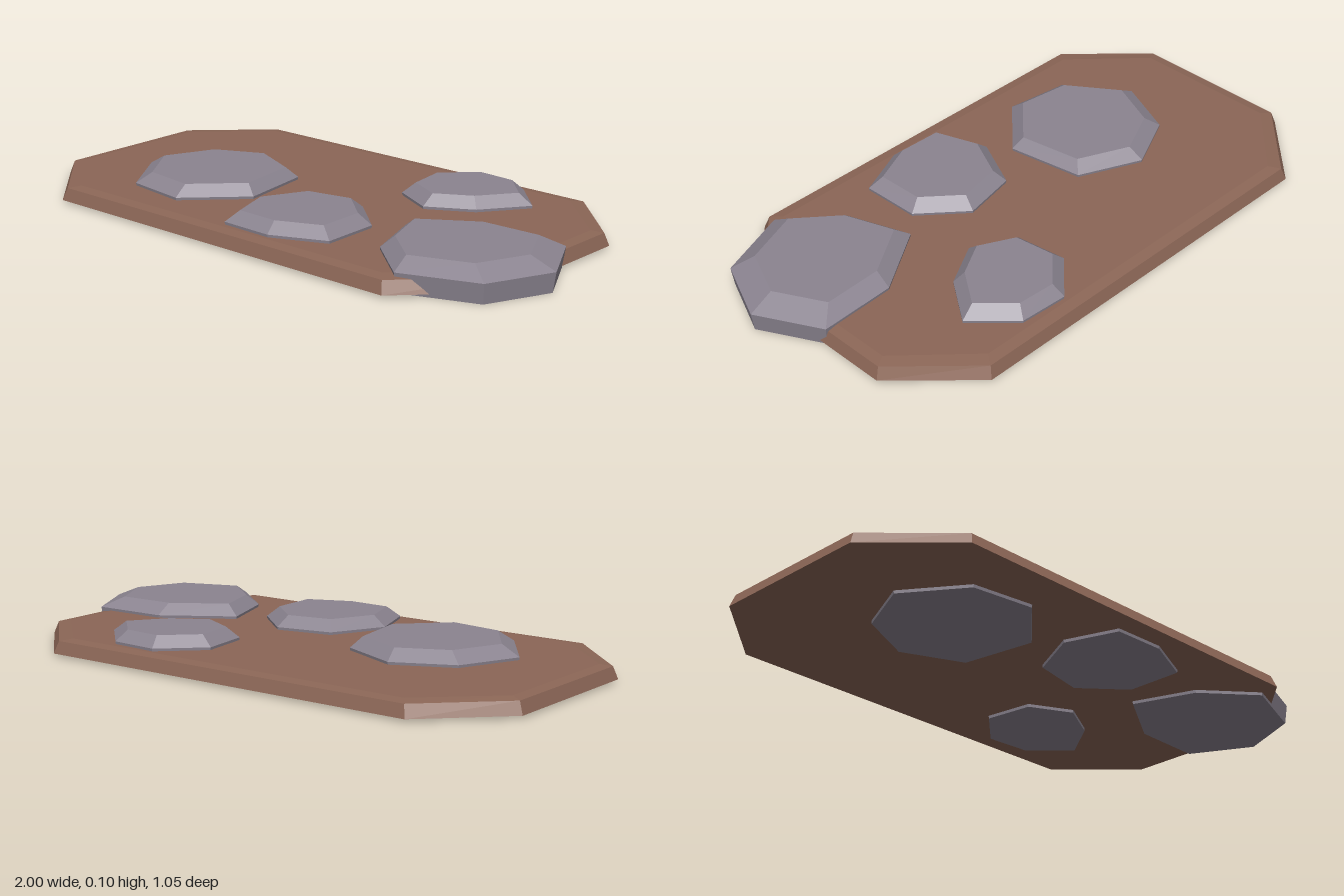
import * as THREE from 'three';

// Solid from a clockwise outline (seen from above), stacked as rings [y, scaleX, scaleZ, shiftX]
function stack(outline, rings) {
  const n = outline.length;
  const cx = outline.reduce((s, p) => s + p[0], 0) / n;
  const cz = outline.reduce((s, p) => s + p[1], 0) / n;
  const loops = rings.map(([y, sx, sz, dx = 0]) =>
    outline.map(([x, z]) => [cx + dx + (x - cx) * sx, y, cz + (z - cz) * sz]));
  const pos = [];
  const tri = (a, b, c) => pos.push(...a, ...b, ...c);
  const bottom = loops[0], top = loops[loops.length - 1];
  for (let i = 1; i < n - 1; i++) {
    tri(bottom[0], bottom[i], bottom[i + 1]);
    tri(top[0], top[i + 1], top[i]);
  }
  for (let k = 0; k < loops.length - 1; k++) {
    const l = loops[k], u = loops[k + 1];
    for (let i = 0; i < n; i++) {
      const j = (i + 1) % n;
      tri(l[j], l[i], u[i]);
      tri(l[j], u[i], u[j]);
    }
  }
  const g = new THREE.BufferGeometry();
  g.setAttribute('position', new THREE.Float32BufferAttribute(pos, 3));
  g.computeVertexNormals();
  return g;
}

export function createModel() {
  const model = new THREE.Group();
  model.name = 'steppingStones';
  const soil = new THREE.MeshStandardMaterial({ name: 'soilBrown', color: 0x8b6656, flatShading: true });
  const rock = new THREE.MeshStandardMaterial({ name: 'stoneGrey', color: 0x8b8490, flatShading: true });

  const add = (name, geometry, material) => {
    const mesh = new THREE.Mesh(geometry, material);
    mesh.name = name;
    model.add(mesh);
  };

  // Soil bed: long octagon, slightly tapered, with a softly rounded upper edge
  const bed = [[-0.755, -0.53], [0.65, -0.53], [0.89, -0.29], [0.89, 0.28],
    [0.65, 0.525], [-0.755, 0.525], [-1, 0.28], [-1, -0.29]];
  add('soilBed', stack(bed, [
    [0.01, 1, 1], [0.051, 0.984, 0.972], [0.057, 0.945, 0.9],
  ]), soil);

  // Seven-sided stones: outline, top scale, top shift in x
  const stones = [
    ['leftmostStone', 0.82, 0.012, [[-0.435, -0.16], [-0.22, -0.065], [-0.175, 0.2],
      [-0.355, 0.38], [-0.58, 0.35], [-0.725, 0.145], [-0.635, -0.065]]],
    ['backStone', 0.79, 0, [[0.135, -0.335], [0.27, -0.465], [0.44, -0.455],
      [0.57, -0.325], [0.46, -0.17], [0.31, -0.085], [0.16, -0.16]]],
    ['middleStone', 0.8, 0, [[-0.12, 0.27], [-0.03, 0.085], [0.165, 0.045],
      [0.315, 0.175], [0.32, 0.38], [0.135, 0.46], [-0.055, 0.455]]],
    ['edgeStone', 0.77, -0.02, [[0.39, 0.1], [0.62, -0.05], [0.885, -0.06],
      [1, 0.155], [0.905, 0.375], [0.65, 0.47], [0.47, 0.32]]],
  ];
  for (const [name, s, shift, outline] of stones) {
    add(name, stack(outline, [[0, 0.965, 0.965], [0.066, 1, 1], [0.102, s, s, shift]]), rock);
  }
  return model;
}
